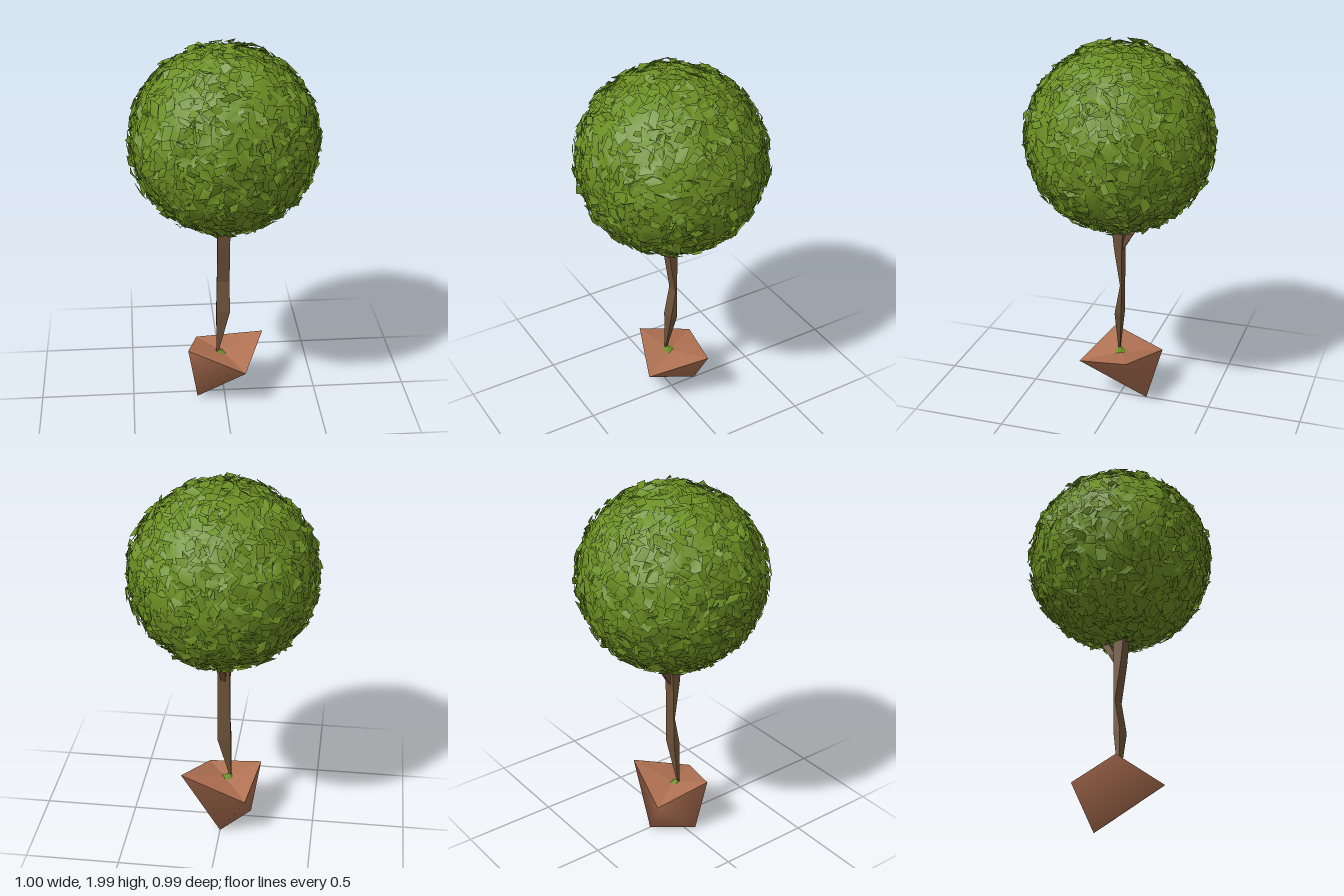
import * as THREE from 'three';
import { mergeVertices } from 'three/addons/utils/BufferGeometryUtils.js';

const paint = (name, color) =>
  Object.assign(new THREE.MeshStandardMaterial({ color, side: THREE.DoubleSide }), { name });

function seeded(seed) {
  return () => {
    seed = (seed * 1664525 + 1013904223) % 4294967296;
    return seed / 4294967296;
  };
}

function surface(points, faces, flat = false) {
  let g = new THREE.BufferGeometry();
  g.setAttribute('position', new THREE.Float32BufferAttribute(points.flat(), 3));
  g.setIndex(faces.flat());
  if (flat) g = g.toNonIndexed();
  g.computeVertexNormals();
  return g;
}

// Joins four-cornered cross-sections into a closed faceted limb.
function limb(sections) {
  const points = [], faces = [];
  for (const [y, x0, x1, z0, z1] of sections) {
    points.push([x0, y, z1], [x1, y, z1], [x1, y, z0], [x0, y, z0]);
  }
  for (let s = 0; s < sections.length - 1; s++) {
    for (let i = 0; i < 4; i++) {
      const a = s * 4 + i, b = s * 4 + (i + 1) % 4;
      faces.push([a, b, b + 4], [a, b + 4, a + 4]);
    }
  }
  return surface(points, faces, true);
}

// Uneven round core of the crown.
function crownCore(radius, rand) {
  let g = new THREE.IcosahedronGeometry(radius, 9);
  g.deleteAttribute('uv');
  g.deleteAttribute('normal');
  g = mergeVertices(g, 1e-4);
  const p = g.attributes.position, v = new THREE.Vector3();
  for (let i = 0; i < p.count; i++) {
    v.fromBufferAttribute(p, i).multiplyScalar(0.98 + rand() * 0.04);
    p.setXYZ(i, v.x, v.y, v.z);
  }
  g.computeVertexNormals();
  return g;
}

// Bent, pointed leaves spread evenly over a sphere and lying along its surface.
function leafShell(count, radius, rand) {
  const points = [], faces = [];
  const n = new THREE.Vector3(), u = new THREE.Vector3(), v = new THREE.Vector3();
  const q = new THREE.Vector3();
  for (let i = 0; i < count; i++) {
    const y = 1 - 2 * (i + 0.5) / count, r = Math.sqrt(1 - y * y);
    const a = i * 2.39996 + rand() * 0.4;
    n.set(r * Math.cos(a), y, r * Math.sin(a));
    u.set(rand() - 0.5, rand() - 0.5, rand() - 0.5).cross(n).normalize();
    v.crossVectors(n, u);
    const long = 0.025 + rand() * 0.035, wide = 0.015 + rand() * 0.025;
    const lift = radius + rand() * 0.014;
    const corners = [[0, -long], [wide, (rand() - 0.5) * long], [0, long], [-wide, (rand() - 0.5) * long]];
    const start = points.length;
    for (const [s, t] of corners) {
      q.copy(n).multiplyScalar(lift + (rand() - 0.5) * 0.034)
        .addScaledVector(u, s).addScaledVector(v, t);
      points.push(q.toArray());
    }
    faces.push([start, start + 1, start + 2], [start, start + 2, start + 3]);
  }
  return surface(points, faces);
}

export function createModel() {
  const model = new THREE.Group();
  model.name = 'pottedTree';
  const leafGreen = paint('leaf green', 0x6b8e23);
  const barkBrown = paint('bark brown', 0x6e5339);
  const terracotta = paint('terracotta', 0xb07152);
  const rand = seeded(7);

  const add = (name, geometry, material, parent = model) => {
    const mesh = new THREE.Mesh(geometry, material);
    mesh.name = name;
    parent.add(mesh);
    return mesh;
  };

  // Crooked pot: four rim corners, running round from the right, over a two-point foot.
  const rim = [[-0.2, 0.31, 0.09], [0.1, 0.22, 0.2], [0.22, 0.31, -0.1], [-0.14, 0.23, -0.2]];
  const foot = [[-0.15, 0, 0.05], [0, 0, -0.15]];
  add('potWall', surface([...rim, ...foot],
    [[0, 4, 1], [1, 4, 5], [1, 5, 2], [2, 5, 3], [3, 5, 4], [3, 4, 0]]), terracotta);
  add('potInside', surface([...rim, [-0.01, 0.25, 0]],
    [[4, 0, 1], [4, 1, 2], [4, 2, 3], [4, 3, 0]], true), terracotta);

  // Small tuft at the base of the trunk
  const tuft = add('baseTuft', new THREE.ConeGeometry(0.045, 0.025, 5), leafGreen);
  tuft.position.set(-0.03, 0.258, 0.01);

  // Twisted trunk, thin at the foot and pinched in the middle
  add('trunk', limb([
    [0.25, -0.042, -0.034, 0.012, 0.02],
    [0.5, -0.042, 0.03, -0.015, 0.022],
    [0.67, -0.038, 0.03, -0.016, -0.008],
    [0.88, -0.036, 0.03, -0.018, 0.025],
    [1.02, -0.035, 0.03, -0.025, 0.04],
    [1.3, -0.02, 0.02, -0.02, 0.02],
  ]), barkBrown);
  add('branch', limb([
    [0.87, -0.012, 0.012, -0.02, -0.01],
    [0.94, -0.018, 0.015, -0.06, -0.025],
    [1.05, -0.015, 0.015, -0.13, -0.085],
  ]), barkBrown);

  // Round crown with two layers of leaves
  const crown = new THREE.Group();
  crown.name = 'crown';
  crown.position.y = 1.485;
  model.add(crown);
  add('crownCore', crownCore(0.468, rand), leafGreen, crown);
  add('innerLeaves', leafShell(1100, 0.466, rand), leafGreen, crown);
  add('outerLeaves', leafShell(650, 0.476, rand), leafGreen, crown);

  return model;
}
